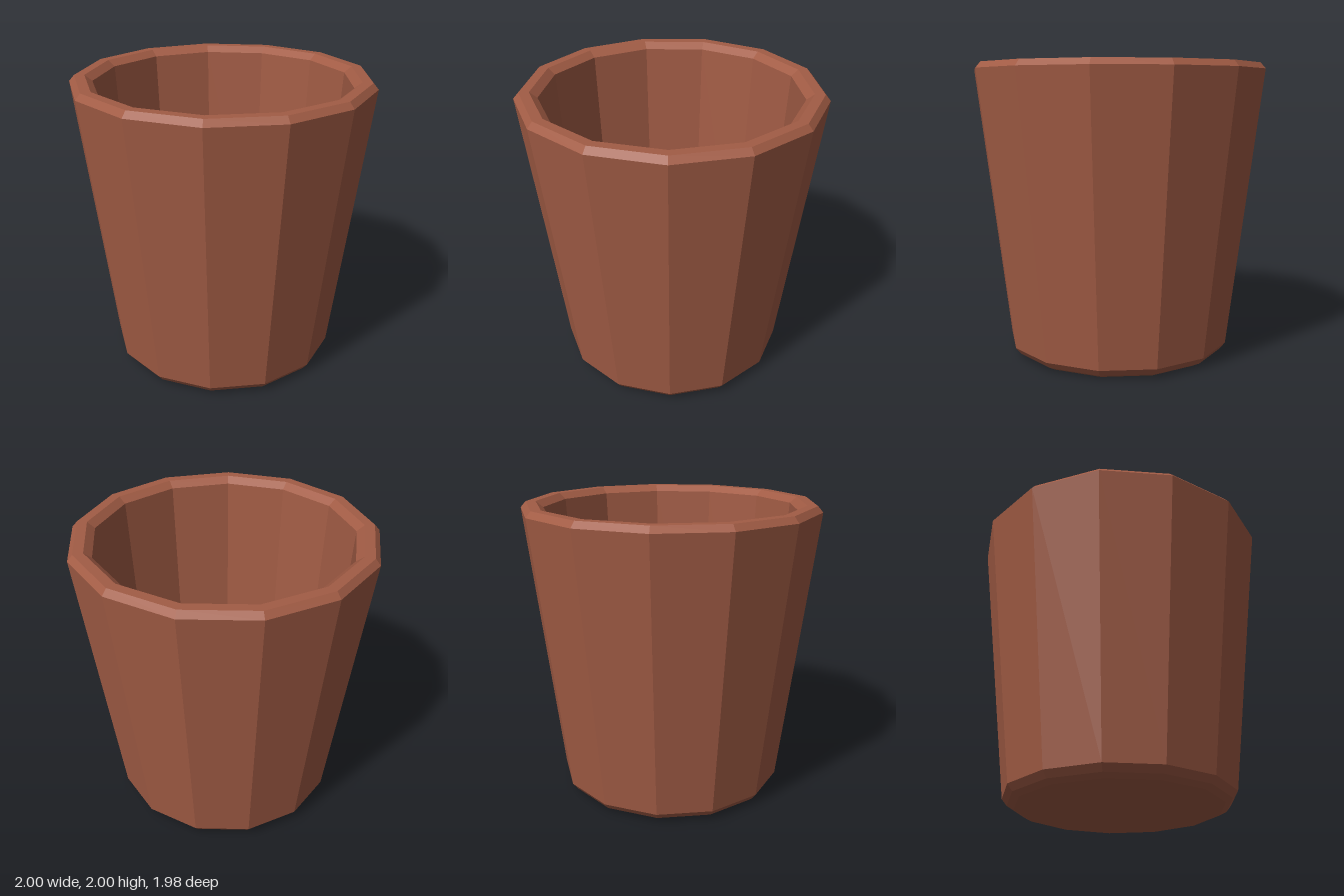
import * as THREE from 'three';

const SIDES = 13;

// Flat-faceted ring of revolution from [radius, height] pairs
function facetedLathe(profile) {
  const points = profile.map(([r, y]) => new THREE.Vector2(r, y));
  const geometry = new THREE.LatheGeometry(points, SIDES, Math.PI).toNonIndexed();
  geometry.computeVertexNormals();
  return geometry;
}

export function createModel() {
  const group = new THREE.Group();
  group.name = 'cup';
  const clay = new THREE.MeshStandardMaterial({ color: 0xa25c45 });
  clay.name = 'clay brown';

  const parts = {
    // Underside, rounded foot and tapering outer wall
    outerWall: [[0, 0], [0.695, 0], [0.742, 0.025], [0.777, 0.07], [1.007, 1.96]],
    // Bevelled lip with a flat top
    rim: [[1.007, 1.96], [0.972, 2], [0.905, 2], [0.855, 1.96]],
    // Hollow inside and its floor
    innerWall: [[0.855, 1.96], [0.74, 0.15]],
    innerFloor: [[0.74, 0.15], [0, 0.15]],
  };
  for (const [name, profile] of Object.entries(parts)) {
    const mesh = new THREE.Mesh(facetedLathe(profile), clay);
    mesh.name = name;
    mesh.position.z = 0.0146; // centres the odd-sided outline
    group.add(mesh);
  }
  return group;
}
